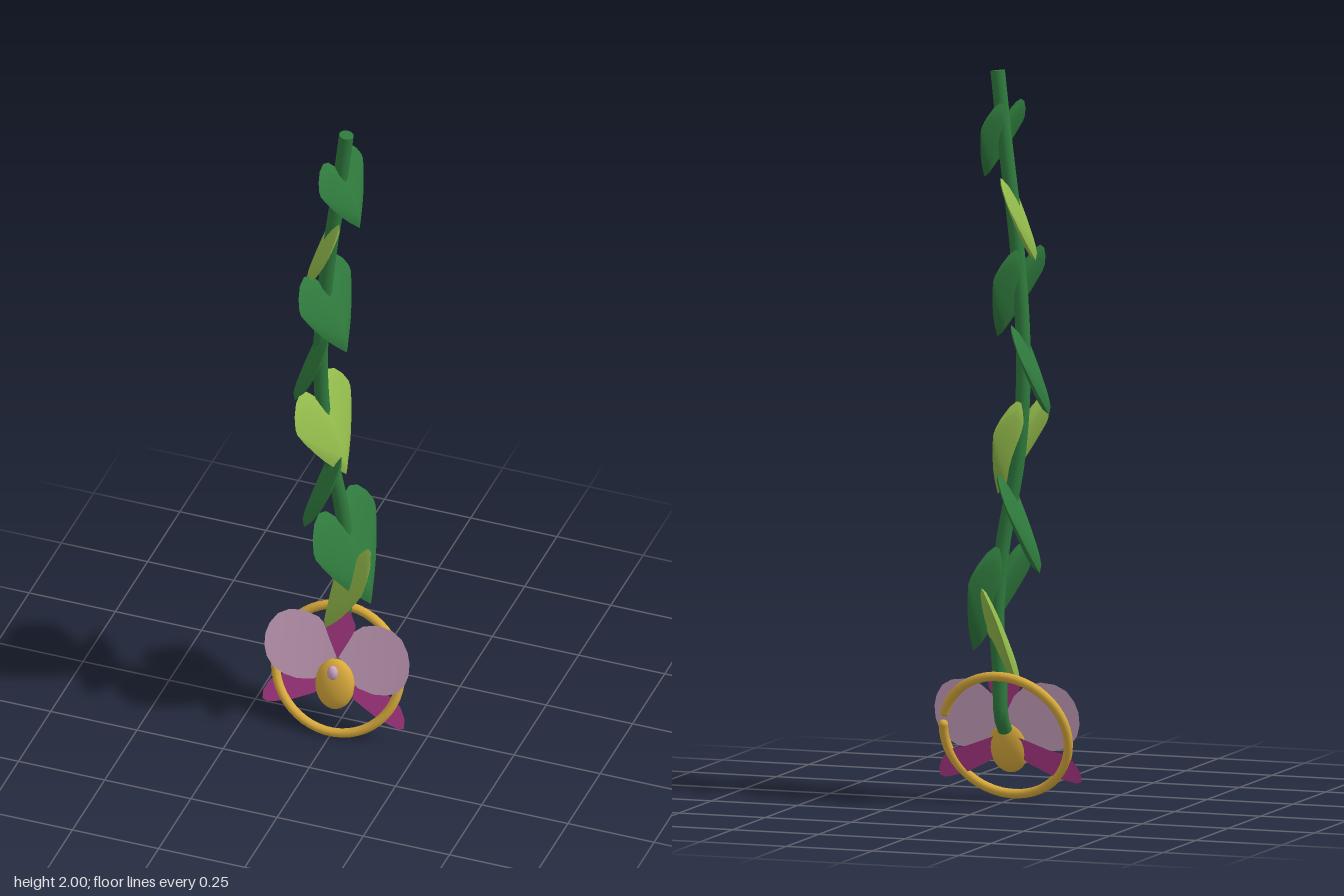
import * as THREE from 'three';
import { mergeGeometries } from 'three/addons/utils/BufferGeometryUtils.js';

const mat = (name, color) => {
  const m = new THREE.MeshStandardMaterial({ color, side: THREE.DoubleSide });
  m.name = name;
  return m;
};

// Thin surface from columns [x, lowY, highY], pushed in z by a rule
// (v runs from 0 at the low edge to 1 at the high edge)
function sheet(columns, depth, rows = 10) {
  const pos = [], index = [];
  columns.forEach(([x, lo, hi], i) => {
    for (let j = 0; j <= rows; j++) {
      const v = j / rows, y = lo + (hi - lo) * v;
      pos.push(x, y, depth(x, y, v));
      if (i && j) {
        const a = (i - 1) * (rows + 1) + j - 1, b = a + rows + 1;
        index.push(a, b, b + 1, a, b + 1, a + 1);
      }
    }
  });
  const g = new THREE.BufferGeometry();
  g.setAttribute('position', new THREE.Float32BufferAttribute(pos, 3));
  g.setIndex(index);
  g.computeVertexNormals();
  return g;
}

const mirrored = half => [
  ...half.slice(1).reverse().map(([x, a, b]) => [-x, a, b]), ...half];

export function createModel() {
  const model = new THREE.Group();
  const darkGreen = mat('dark green', 0x2f7a3d);
  const lightGreen = mat('light green', 0x92ba4b);
  const gold = mat('gold', 0xd8aa3c);
  const magenta = mat('magenta', 0xb03a8a);
  const pink = mat('dusty pink', 0xd0a6c4);

  const add = (name, geometry, material, parent = model) => {
    const m = new THREE.Mesh(geometry, material);
    m.name = name;
    parent.add(m);
    return m;
  };

  // Hanging stem, hooked forward into the flower
  const path = new THREE.CatmullRomCurve3([
    [0.04, 2, 0.07], [0.015, 1.8, 0.063], [-0.025, 1.5, 0.052], [-0.05, 1.2, 0.03],
    [-0.04, 0.95, 0.015], [0, 0.7, 0], [0.012, 0.5, -0.01], [0.003, 0.35, -0.012],
    [0, 0.24, -0.01], [0, 0.2, 0.02],
  ].map(p => new THREE.Vector3(...p)));
  add('stem', new THREE.TubeGeometry(path, 50, 0.02, 10), darkGreen);
  [0, 1].forEach(t => {
    const cap = add('stemEnd', new THREE.CircleGeometry(0.02, 10), darkGreen);
    const p = path.getPointAt(t);
    cap.position.copy(p);
    cap.lookAt(p.clone().addScaledVector(path.getTangentAt(t), t ? 1 : -1));
  });
  const stemAt = y => {
    let best = path.getPoint(0);
    for (let i = 0; i <= 400; i++) {
      const p = path.getPoint(i / 400);
      if (Math.abs(p.y - y) < Math.abs(best.y - y)) best = p;
    }
    return best;
  };

  // Plump heart leaves, domed on both faces, alternating sides
  const face = sheet(mirrored([
    [0, -1.53, 0], [0.12, -1.4, 0.32], [0.3, -1.2, 0.53], [0.5, -0.95, 0.6],
    [0.72, -0.62, 0.5], [0.9, -0.3, 0.28], [1, -0.08, 0.05],
  ]), (x, y, v) => 0.15 * (1 - Math.abs(x) ** 1.5) * Math.sqrt(4 * v * (1 - v)));
  const heart = mergeGeometries([face, face.clone().rotateY(Math.PI)]);
  [
    [1.86, 0.108, darkGreen], [1.65, 0.118, lightGreen], [1.455, 0.127, darkGreen],
    [1.25, 0.128, darkGreen], [1.04, 0.136, lightGreen], [0.835, 0.142, darkGreen],
    [0.63, 0.153, darkGreen], [0.525, 0.148, lightGreen],
  ].forEach(([y, size, material], i, all) => {
    const leaf = add('leaf', heart, material);
    const last = i === all.length - 1;
    leaf.position.copy(stemAt(y));
    if (last) leaf.position.x += 0.025;
    leaf.scale.setScalar(size);
    leaf.rotation.order = 'YXZ';
    leaf.rotation.set(-0.37, last ? -1.08 : i % 2 ? -1.31 : 1.37, 0);
  });

  // Flower: paired petals and lower sepals, single upper sepal
  const flower = new THREE.Group();
  flower.name = 'flower';
  model.add(flower);
  const petal = sheet([
    [0, 0.2, 0.24], [0.03, 0.17, 0.295], [0.065, 0.147, 0.325], [0.11, 0.14, 0.337],
    [0.15, 0.147, 0.332], [0.18, 0.163, 0.315], [0.2, 0.19, 0.285], [0.209, 0.22, 0.255],
  ], (x, y) => 0.032 - (y - 0.2) * 0.24 + 0.3 * x * x);
  const sepal = sheet([
    [0.02, 0.135, 0.185], [0.06, 0.105, 0.17], [0.12, 0.075, 0.147], [0.16, 0.062, 0.138],
    [0.19, 0.055, 0.115], [0.205, 0.06, 0.085],
  ], (x, y) => 0.033 + 0.14 * x - (y - 0.16 + 0.42 * x) * 0.3);
  [1, -1].forEach(s => {
    add('sidePetal', petal, pink, flower).scale.x = s;
    add('lowerSepal', sepal, magenta, flower).scale.x = s;
  });
  add('upperSepal', sheet(mirrored([
    [0, 0.22, 0.4], [0.015, 0.25, 0.38], [0.032, 0.285, 0.357], [0.045, 0.315, 0.33],
  ]), (x, y) => 0.036 - (y - 0.2) * 0.18), magenta, flower);

  // Golden lip with a small pale column tip
  const ball = new THREE.SphereGeometry(1, 20, 14);
  const lip = add('lip', ball, gold, flower);
  lip.position.set(0, 0.15, 0.052);
  lip.scale.set(0.056, 0.074, 0.03);
  lip.rotation.x = -0.2;
  const tip = add('columnTip', ball, pink, flower);
  tip.position.set(0, 0.198, 0.07);
  tip.scale.set(0.015, 0.022, 0.013);

  // Tilted open hoop with rounded ends
  const hoop = new THREE.Group();
  hoop.name = 'hoop';
  hoop.position.set(0, 0.184, 0.027);
  hoop.rotation.x = -0.35;
  model.add(hoop);
  const start = 0.35, arc = Math.PI * 2 - 0.22, r = 0.18;
  add('hoopRing', new THREE.TorusGeometry(r, 0.013, 10, 48, arc).rotateZ(start), gold, hoop);
  [start, start + arc].forEach(a => {
    const end = add('hoopEnd', ball, gold, hoop);
    end.position.set(r * Math.cos(a), r * Math.sin(a), 0);
    end.scale.setScalar(0.013);
  });
  return model;
}
